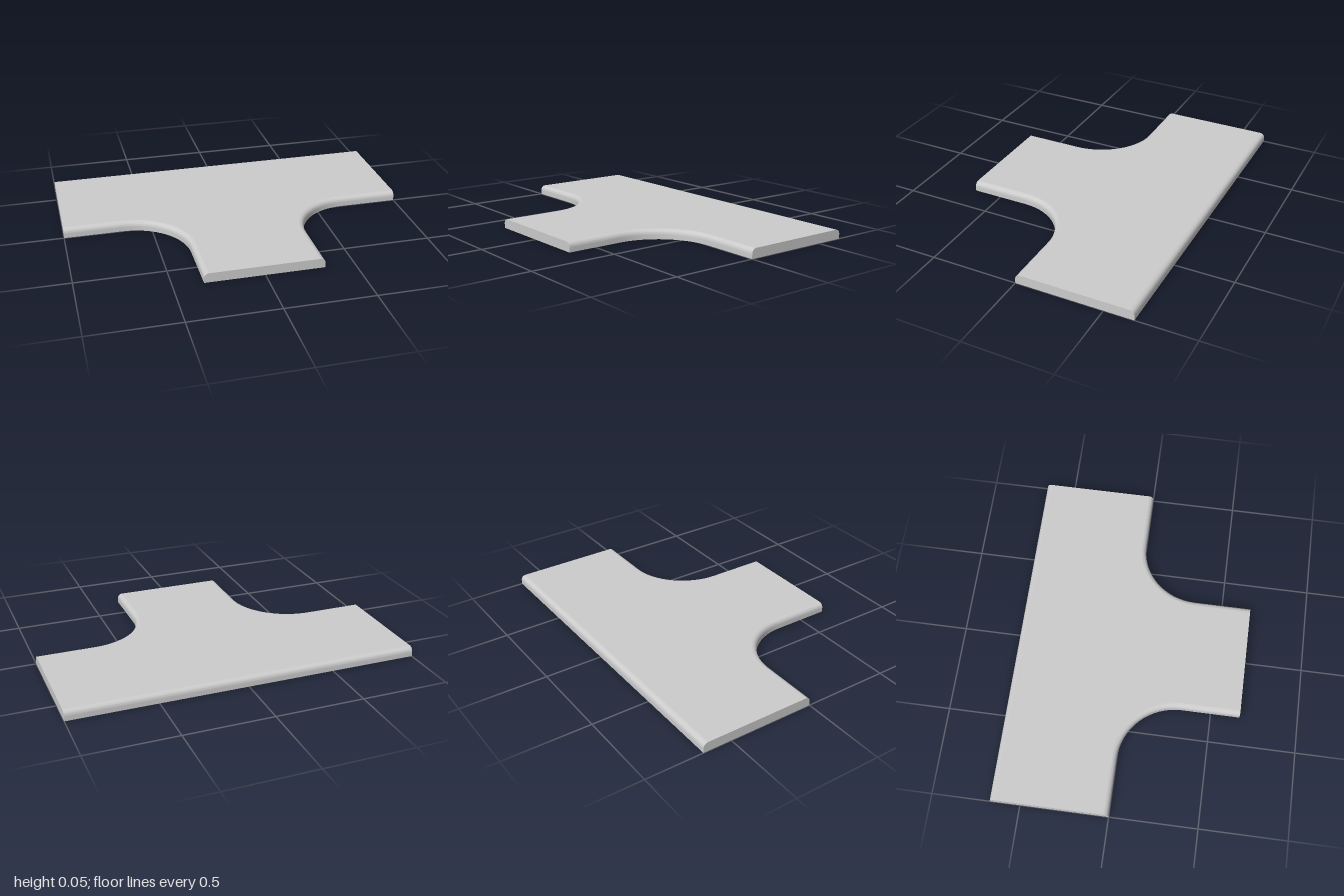
import * as THREE from 'three';
import { toCreasedNormals } from 'three/addons/utils/BufferGeometryUtils.js';

const HEIGHT = 0.055, FILLET = 0.028, THIRD = 1 / 3;
const ARC_STEPS = 16, FILLET_STEPS = 8;

// T-shaped outline as [x, z]; the long edges move inward by t, the three cut ends stay flush
function outline(t) {
  const right = [[1, -t]];
  for (let i = 0; i <= ARC_STEPS; i++) {
    const a = (i / ARC_STEPS) * Math.PI / 2, r = THIRD + t;
    right.push([2 * THIRD - r * Math.sin(a), THIRD - r * Math.cos(a)]);
  }
  right.push([THIRD - t, 2 * THIRD]);
  const left = right.map(([x, z]) => [-x, z]).reverse();
  return [[-1, -2 * THIRD + t], [1, -2 * THIRD + t], ...right, ...left];
}

// Side walls lofted through outlines that shrink over the rounded top edge
function rimGeometry() {
  const rows = [[0, 0]];
  for (let i = 0; i <= FILLET_STEPS; i++) {
    const a = (i / FILLET_STEPS) * Math.PI / 2;
    rows.push([FILLET * (1 - Math.cos(a)), HEIGHT - FILLET + FILLET * Math.sin(a)]);
  }
  const pos = [], index = [], n = outline(0).length;
  rows.forEach(([t, y], i) => {
    for (const [x, z] of outline(t)) pos.push(x, y, z);
    if (i === 0) return;
    for (let j = 0; j < n; j++) {
      const k = (j + 1) % n, lo = (i - 1) * n, hi = i * n;
      index.push(lo + j, hi + k, lo + k, lo + j, hi + j, hi + k);
    }
  });
  const geo = new THREE.BufferGeometry();
  geo.setAttribute('position', new THREE.Float32BufferAttribute(pos, 3));
  geo.setIndex(index);
  return toCreasedNormals(geo, Math.PI / 5);
}

// Flat face: side 1 looks up, side -1 looks down
function faceGeometry(t, y, side) {
  const shape = new THREE.Shape(outline(t).map(([x, z]) => new THREE.Vector2(x, -side * z)));
  return new THREE.ShapeGeometry(shape).rotateX(-side * Math.PI / 2).translate(0, y, 0);
}

export function createModel() {
  const group = new THREE.Group();
  group.name = 'teeSlab';
  const material = new THREE.MeshStandardMaterial({ color: 0xcccccc });
  const add = (name, geo) => {
    const mesh = new THREE.Mesh(geo, material);
    mesh.name = name;
    group.add(mesh);
  };
  add('roundedRim', rimGeometry());
  add('topFace', faceGeometry(FILLET, HEIGHT, 1));
  add('bottomFace', faceGeometry(0, 0, -1));
  return group;
}
